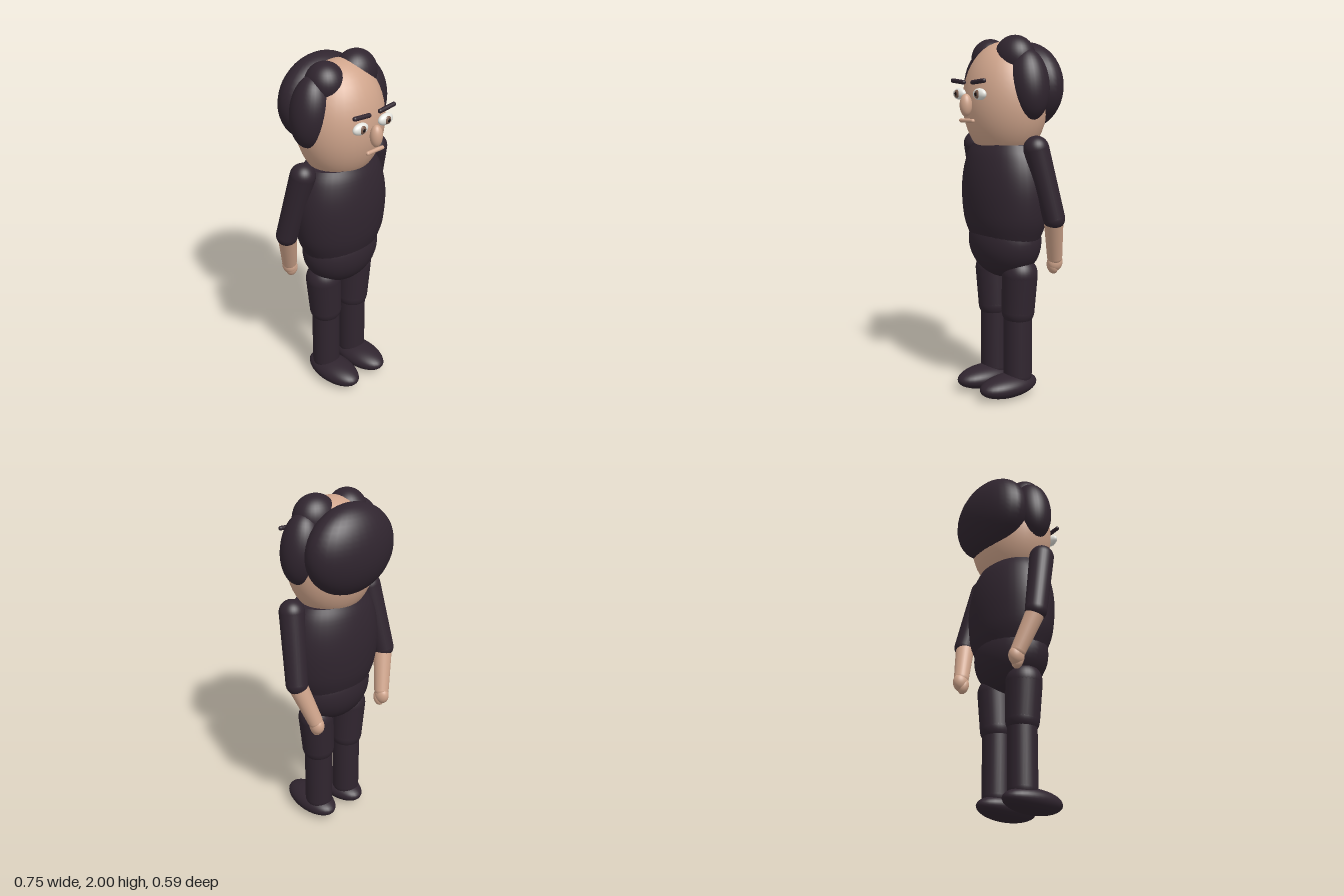
import * as THREE from 'three';

const mat = (name, color) => {
  const m = new THREE.MeshStandardMaterial({ color });
  m.name = name;
  return m;
};

export function createModel() {
  const root = new THREE.Group();
  root.name = 'standingMan';
  const dark = mat('dark plum', 0x30252f);
  const skin = mat('skin', 0xd0a58c);
  const white = mat('eye white', 0xe6e6e0);
  const brown = mat('iris brown', 0x7d5f50);
  const black = mat('pupil black', 0x181214);

  const add = (name, geometry, material, parent = root) => {
    const mesh = new THREE.Mesh(geometry, material);
    mesh.name = name;
    parent.add(mesh);
    return mesh;
  };
  const ball = (name, material, [x, y, z], [rx, ry, rz], parent) => {
    const m = add(name, new THREE.SphereGeometry(1, 32, 24), material, parent);
    m.position.set(x, y, z);
    m.scale.set(rx, ry, rz);
    return m;
  };
  // Tapered limb with rounded ends
  const limb = (name, material, a, b, ra, rb, parent = root) => {
    const g = new THREE.Group();
    g.name = name;
    parent.add(g);
    const p = new THREE.Vector3(...a), q = new THREE.Vector3(...b);
    const dir = q.clone().sub(p);
    const tube = add(name + 'Shaft', new THREE.CylinderGeometry(rb, ra, dir.length(), 28, 1, true), material, g);
    tube.position.copy(p).add(q).multiplyScalar(0.5);
    tube.quaternion.setFromUnitVectors(new THREE.Vector3(0, 1, 0), dir.normalize());
    ball(name + 'Start', material, a, [ra, ra, ra], g);
    ball(name + 'End', material, b, [rb, rb, rb], g);
    return g;
  };

  // Torso: oval barrel
  const profile = new THREE.SplineCurve([
    [0.235, 0.9], [0.275, 1.0], [0.29, 1.14], [0.28, 1.26], [0.25, 1.36], [0.213, 1.42],
  ].map(([x, y]) => new THREE.Vector2(x, y))).getPoints(20);
  const torso = add('torso', new THREE.LatheGeometry(profile, 40), dark);
  torso.scale.z = 0.71;
  const collar = add('torsoTop', new THREE.CircleGeometry(0.213, 40).rotateX(-Math.PI / 2), dark);
  collar.position.y = 1.42;
  collar.scale.z = 0.71;
  ball('pelvis', dark, [0, 0.88, 0], [0.238, 0.21, 0.18]);

  // Head and hair
  ball('head', skin, [0, 1.645, 0], [0.253, 0.325, 0.22]);
  ball('backHair', dark, [0, 1.73, -0.145], [0.272, 0.24, 0.15]);
  ball('rightTopHair', dark, [-0.115, 1.875, 0.01], [0.105, 0.11, 0.105]);
  ball('leftTopHair', dark, [0.1, 1.88, 0.01], [0.122, 0.12, 0.105]);

  // Face
  ball('nose', skin, [0, 1.632, 0.262], [0.034, 0.06, 0.033]);
  limb('mouth', skin, [-0.052, 1.55, 0.256], [0.052, 1.55, 0.256], 0.011, 0.011);

  for (const s of [1, -1]) {
    const side = s > 0 ? 'left' : 'right';
    const g = new THREE.Group();
    g.name = side + 'Parts';
    root.add(g);

    // Side lock of hair, leaning in at the top
    const lock = ball('sideHair', dark, [s * 0.2, 1.74, -0.005], [0.11, 0.19, 0.108], g);
    lock.rotation.z = s * 0.15;

    // Eye and brow
    ball('eyeWhite', white, [s * 0.09, 1.69, 0.238], [0.05, 0.031, 0.024], g);
    ball('iris', brown, [s * 0.09, 1.69, 0.255], [0.022, 0.022, 0.01], g);
    ball('pupil', black, [s * 0.09, 1.69, 0.261], [0.011, 0.011, 0.006], g);
    limb('eyebrow', dark, [s * 0.04, 1.751, 0.247], [s * 0.138, 1.76, 0.247], 0.012, 0.012, g);

    // Sleeve, forearm and hand
    limb('sleeve', dark, [s * 0.268, 1.405, 0], [s * 0.315, 1.03, -0.088], 0.069, 0.06, g);
    limb('forearm', skin, [s * 0.312, 1.02, -0.088], [s * 0.248, 0.8, -0.155], 0.053, 0.042, g);
    ball('hand', skin, [s * 0.242, 0.77, -0.163], [0.038, 0.052, 0.046], g);
    const thumb = ball('thumb', skin, [s * 0.236, 0.75, -0.15], [0.034, 0.048, 0.03], g);
    thumb.rotation.x = 0.25;

    // Leg and shoe
    limb('thigh', dark, [s * 0.122, 0.7, -0.01], [s * 0.108, 0.49, -0.01], 0.1, 0.092, g);
    limb('shin', dark, [s * 0.106, 0.46, -0.01], [s * 0.106, 0.12, -0.01], 0.08, 0.08, g);
    ball('shoe', dark, [s * 0.106, 0.066, 0.057], [0.1, 0.065, 0.188], g);
  }
  return root;
}
